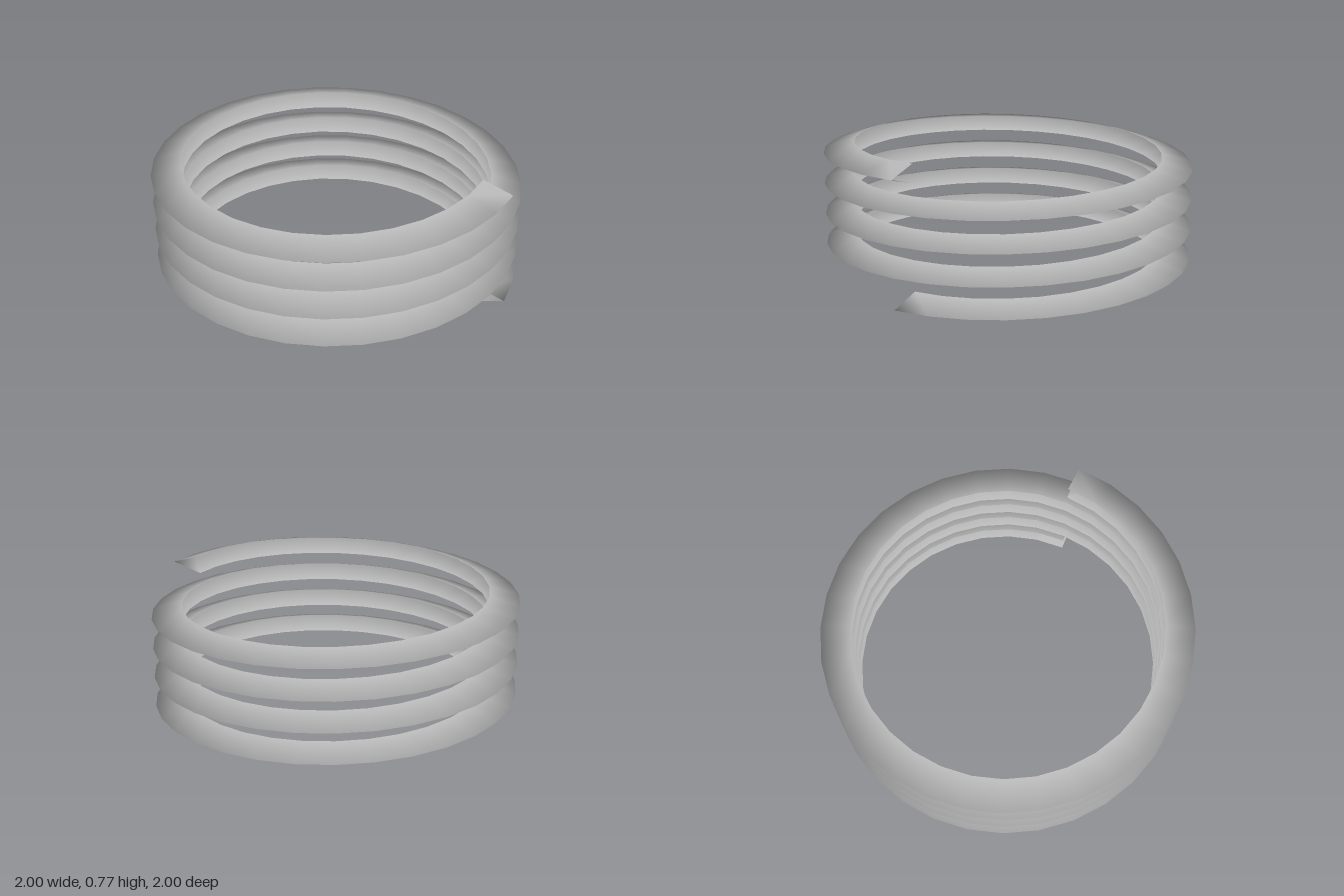
import * as THREE from 'three';

const TURNS = 4, SIDES = 32;      // coil turns and segments per turn
const PITCH = 1 / 6;              // rise per turn
// V-shaped section, open towards the axis: [radius, height]
const SECTION = [[0.835, 0], [1, 0.05], [0.835, 0.1]];

// Sweep the section upwards along a helix
function helixSweep() {
  const positions = [], index = [], n = SECTION.length, steps = TURNS * SIDES;
  for (let i = 0; i <= steps; i++) {
    const angle = (i / SIDES) * Math.PI * 2;
    const rise = (i / SIDES) * PITCH;
    for (const [r, h] of SECTION) {
      positions.push(r * Math.cos(angle), h + rise, -r * Math.sin(angle));
    }
    if (i === steps) break;
    for (let j = 0; j < n - 1; j++) {
      const a = i * n + j, b = a + n;
      index.push(a, b, a + 1, b, b + 1, a + 1);
    }
  }
  const geometry = new THREE.BufferGeometry();
  geometry.setAttribute('position', new THREE.Float32BufferAttribute(positions, 3));
  geometry.setIndex(index);
  geometry.computeVertexNormals();
  return geometry;
}

export function createModel() {
  const group = new THREE.Group();
  group.name = 'spiralThread';
  const grey = new THREE.MeshStandardMaterial({ color: 0xb8b8b8, side: THREE.DoubleSide });
  grey.name = 'grey';
  const coil = new THREE.Mesh(helixSweep(), grey);
  coil.name = 'threadCoil';
  group.add(coil);
  return group;
}
